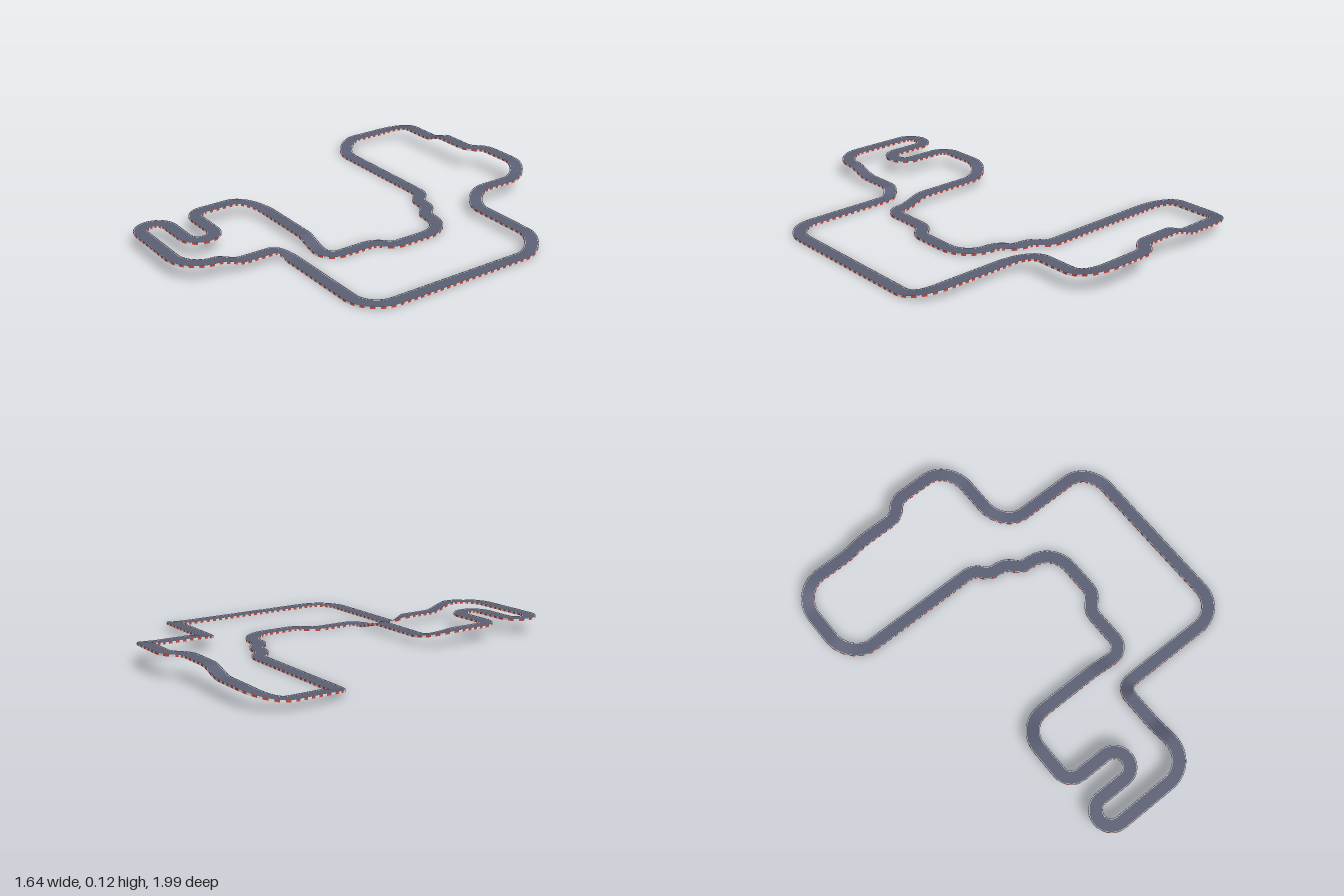
import * as THREE from 'three';

const U = 1 / 14;      // track tile half-length
const STEP = U / 2;    // height of one ramp
const SUB = 2;         // samples per kerb stripe

const mat = (name, color) => {
  const m = new THREE.MeshStandardMaterial({ color });
  m.name = name;
  return m;
};

// Layout: [length, rise] is a straight, [radius, rise, degrees] a bend (right is positive); lengths in tiles
const S = Math.atan(0.5) * 360 / Math.PI;
const sBend = (side) => [[1.25, 0, side * S], [1.25, 0, -side * S]];
const LAYOUT = [
  [10, 0], [2, 0, 90], [6, 0], [1, 1, -90], [2, 0], [2, 1], [2, 0, 90],   // right side and front climb
  [4, 0], [1, 0, 180], [2, 0], [1, 0, -180], [2, 0], [1, 0, 90], [2, 0],  // hairpins
  [2, -1, 90], [4, 0], [2, -1], [1, 0, -90], [2, 0],                      // descent through the middle
  ...sBend(1), [2, 0], [2, 0, -90], ...sBend(1), ...sBend(1), [8, 0],     // chicanes
  [2, 1, 90], [2, 0], [2, 1, 90], [2, 0], [2, 1], [2, 0],                 // left side climb
  ...sBend(-1), [2, 0], [2, -1, 90], [2, 0], [2, -1, -90], [4, 0], [2, -1, 90], // back descent
];

// Walk the layout and sample the centre line
function tracePath() {
  const pts = [];
  let x = 11 * U, z = -0.395, y = 0, a = 0;
  for (const [size, rise, deg = 0] of LAYOUT) {
    const turn = THREE.MathUtils.degToRad(deg);
    const len = U * size * (deg ? Math.abs(turn) : 1);
    const n = 2 * SUB * Math.max(1, Math.round(len / STEP));
    const at = (f) => {
      const h = a - turn * f;
      // a bend's chord points along the mean heading
      const half = turn * f / 2;
      const d = deg ? 2 * U * size * Math.abs(Math.sin(half)) : len * f;
      const m = a - half;
      return { x: x + d * Math.sin(m), z: z + d * Math.cos(m), y: y + rise * STEP * f * f * (3 - 2 * f), a: h };
    };
    for (let i = 0; i < n; i++) pts.push(at(i / n));
    ({ x, y, z, a } = at(1));
  }
  return pts;
}

// Sweep one edge of the cross-section, from (s0, y0) to (s1, y1), along the path
function strip(path, [s0, y0], [s1, y1], keep = () => true) {
  const pos = [], idx = [], n = path.length;
  for (const p of path) {
    const rx = -Math.cos(p.a), rz = Math.sin(p.a);
    pos.push(p.x + rx * s0, p.y + y0, p.z + rz * s0, p.x + rx * s1, p.y + y1, p.z + rz * s1);
  }
  for (let i = 0; i < n; i++) {
    if (!keep(Math.floor(i / SUB) % 2)) continue;
    const a = 2 * i, b = 2 * ((i + 1) % n);
    idx.push(a, a + 1, b + 1, a, b + 1, b);
  }
  const g = new THREE.BufferGeometry();
  g.setAttribute('position', new THREE.Float32BufferAttribute(pos, 3));
  g.setIndex(idx);
  g.computeVertexNormals();
  return g;
}

export function createModel() {
  const group = new THREE.Group();
  group.name = 'raceTrack';
  const slate = mat('slate asphalt', 0x5c6075);
  const charcoal = mat('charcoal', 0x3f4048);
  const red = mat('kerb red', 0xcf4638);
  const white = mat('kerb white', 0xe9e9ee);
  const path = tracePath();
  const add = (name, material, from, to, keep) => {
    const mesh = new THREE.Mesh(strip(path, from, to, keep), material);
    mesh.name = name;
    group.add(mesh);
  };
  const W = 0.033, LIP = 0.0305, LINE = 0.0285, TOP = 0.01, ROAD = 0.008;
  const odd = (k) => k === 1, even = (k) => k === 0;

  // Driving surface
  add('roadSurface', slate, [-LINE, ROAD], [LINE, ROAD]);

  // Edge lines and raised lips
  add('leftLine', white, [-LIP, ROAD], [-LINE, ROAD]);
  add('rightLine', white, [LINE, ROAD], [LIP, ROAD]);
  add('leftLip', charcoal, [-W, TOP], [-LIP, TOP]);
  add('rightLip', charcoal, [LIP, TOP], [W, TOP]);
  add('leftLipInside', charcoal, [-LIP, TOP], [-LIP, ROAD]);
  add('rightLipInside', charcoal, [LIP, ROAD], [LIP, TOP]);

  // Striped sides and underside
  for (const [label, material, keep] of [['Red', red, odd], ['White', white, even]]) {
    add('rightKerb' + label, material, [W, TOP], [W, 0], keep);
    add('leftKerb' + label, material, [-W, 0], [-W, TOP], keep);
  }
  add('undersideRed', red, [W, 0], [-W, 0], odd);
  add('undersideDark', charcoal, [W, 0], [-W, 0], even);
  return group;
}
